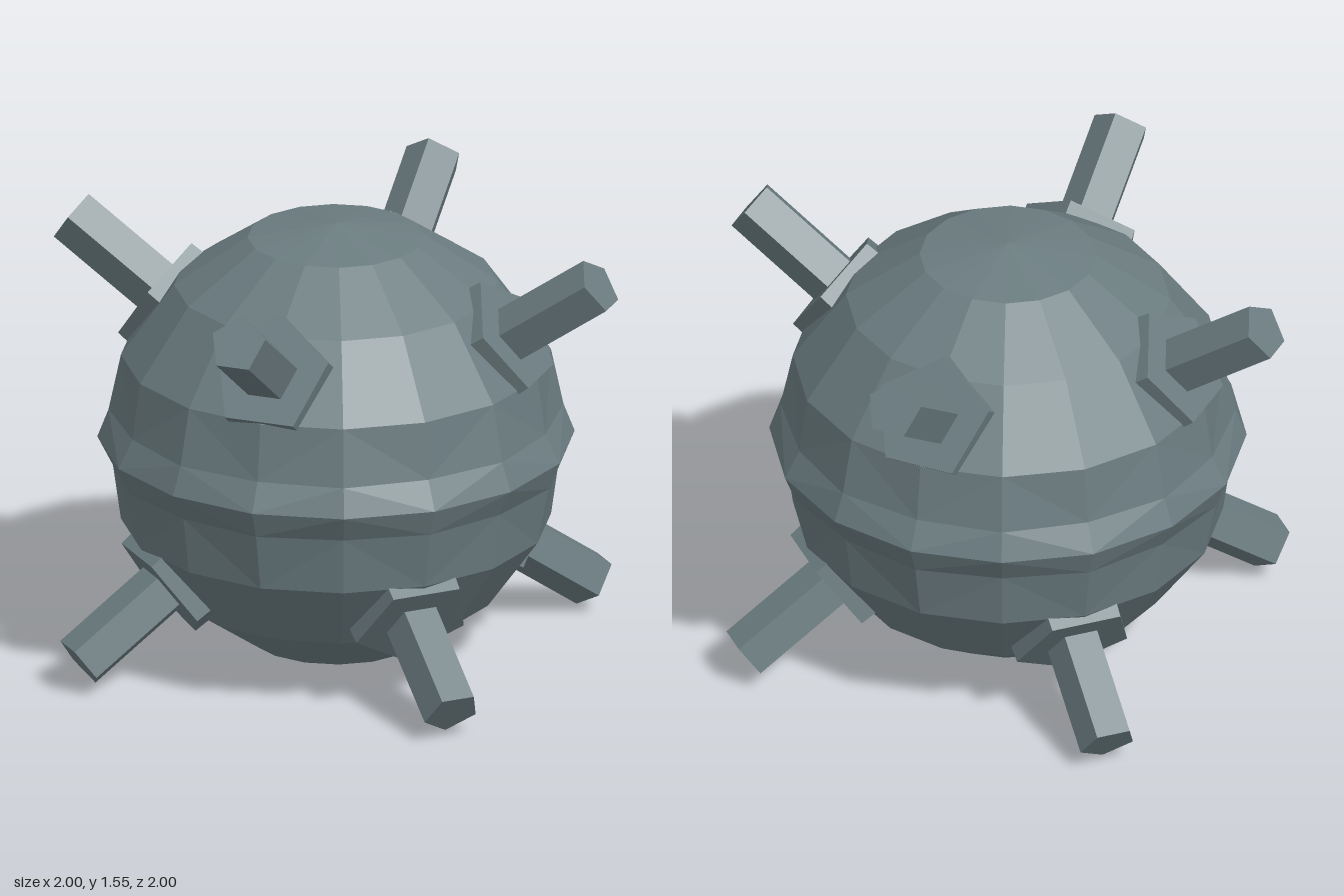
import * as THREE from 'three';

const CENTRE_Y = 0.78;
const ELEVATION = Math.atan(Math.SQRT1_2); // horns lean along cube-corner slopes
const SIDES = 16;

const steel = new THREE.MeshStandardMaterial({ color: 0x6b7c80 });
steel.name = 'blue grey steel';
steel.flatShading = true;

// Faceted ball with a sharp equator ridge and shallow zigzag dents beside it
function hullGeometry() {
  // [radius, height, dent depth, parity of dented corners]
  const rings = [
    [0, 0.005], [0.3, 0.062], [0.55, 0.235], [0.73, 0.487],
    [0.772, 0.69, 0.014, 1], [0.81, 0.787], [0.772, 0.885, 0.014, 0],
    [0.73, 1.083], [0.55, 1.335], [0.3, 1.505], [0, 1.553],
  ];
  const positions = [];
  const index = [];
  for (const [radius, y, dent = 0, parity = 0] of rings) {
    for (let k = 0; k < SIDES; k++) {
      const a = (k / SIDES) * Math.PI * 2;
      const r = k % 2 === parity ? radius - dent : radius;
      positions.push(r * Math.sin(a), y, r * Math.cos(a));
    }
  }
  for (let i = 0; i < rings.length - 1; i++) {
    for (let k = 0; k < SIDES; k++) {
      const n = (k + 1) % SIDES;
      const a = i * SIDES + k, b = i * SIDES + n;
      const c = b + SIDES, d = a + SIDES;
      if (i === 0) index.push(a, c, d);
      else if (i === rings.length - 2) index.push(a, b, d);
      // alternate the diagonals so that the dents read as a zigzag
      else if (k % 2 === 0) index.push(a, b, c, a, c, d);
      else index.push(a, b, d, b, c, d);
    }
  }
  const indexed = new THREE.BufferGeometry();
  indexed.setAttribute('position', new THREE.Float32BufferAttribute(positions, 3));
  indexed.setIndex(index);
  const geometry = indexed.toNonIndexed();
  geometry.computeVertexNormals();
  return geometry;
}

// Five-sided prism running outward along +y between two distances
function prism(name, outerRadius, innerRadius, from, to, turn) {
  const geometry = new THREE.CylinderGeometry(outerRadius, innerRadius, to - from, 5, 1, false, turn);
  geometry.translate(0, (from + to) / 2, 0);
  const mesh = new THREE.Mesh(geometry, steel);
  mesh.name = name;
  return mesh;
}

// Detonator horn on its mounting plate
function createHorn(name, azimuth, upper) {
  const horn = new THREE.Group();
  horn.name = name;
  const turn = upper ? Math.PI : 0;
  horn.add(prism('mountingPlate', 0.21, 0.216, 0.68, 0.79, turn));
  horn.add(prism('hornRod', 0.1, 0.1, 0.7, 1.168, turn));
  horn.position.y = CENTRE_Y;
  horn.rotation.order = 'YXZ';
  horn.rotation.y = azimuth;
  horn.rotation.x = Math.PI / 2 + (upper ? -ELEVATION : ELEVATION);
  return horn;
}

export function createModel() {
  const model = new THREE.Group();
  model.name = 'navalMine';

  const hull = new THREE.Mesh(hullGeometry(), steel);
  hull.name = 'hull';
  model.add(hull);

  // Four raised horns on the axes, four lowered ones on the diagonals
  for (let i = 0; i < 4; i++) {
    const azimuth = (i * Math.PI) / 2;
    model.add(createHorn('upperHorn' + (i + 1), azimuth, true));
    model.add(createHorn('lowerHorn' + (i + 1), azimuth + Math.PI / 4, false));
  }
  return model;
}
